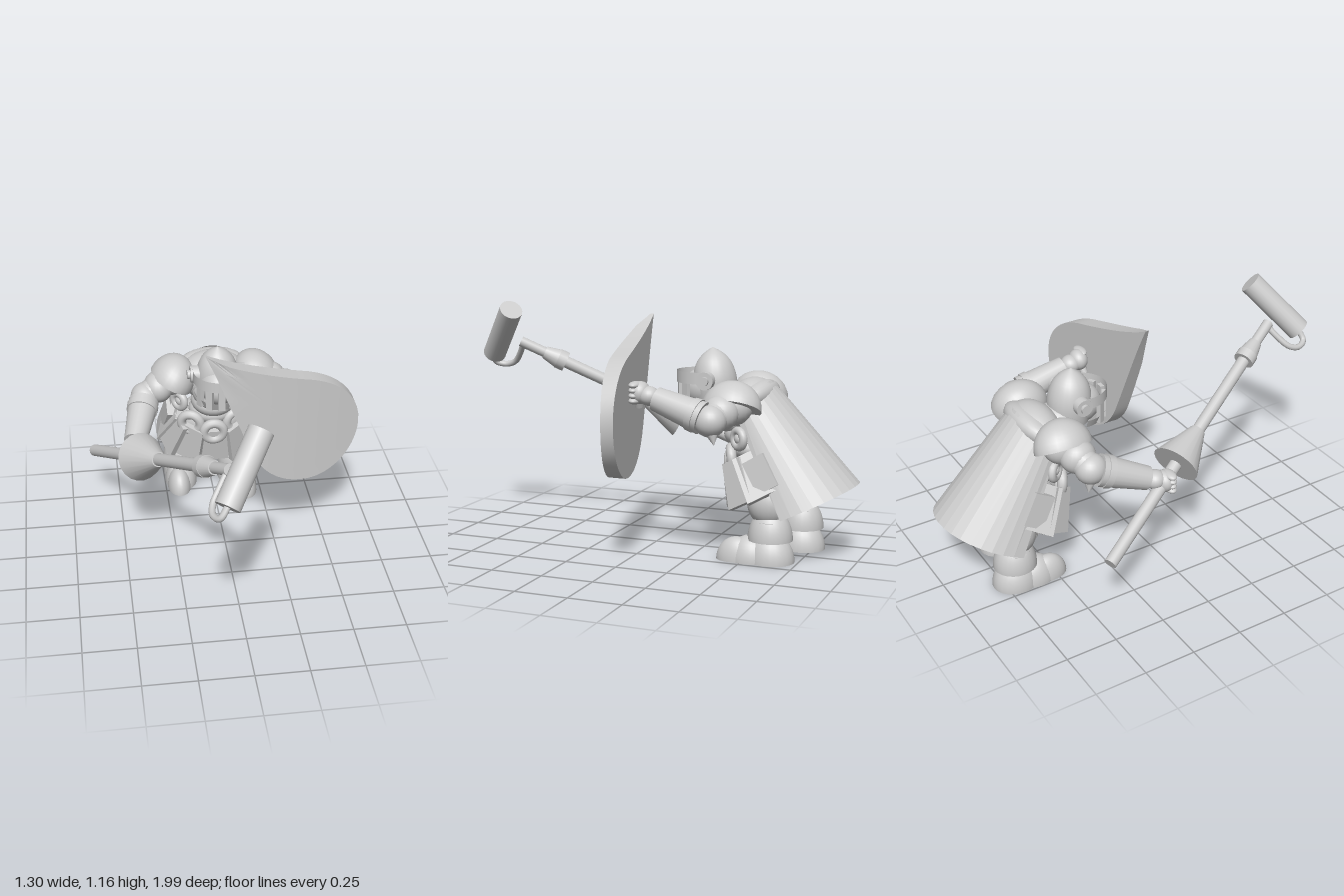
import * as THREE from 'three';
import { mergeGeometries, toCreasedNormals } from 'three/addons/utils/BufferGeometryUtils.js';

const mat = new THREE.MeshStandardMaterial({ color: 0xcccccc });
const thin = new THREE.MeshStandardMaterial({ color: 0xcccccc, side: THREE.DoubleSide });
const V = (p) => new THREE.Vector3(...p);
const UP = new THREE.Vector3(0, 1, 0);
const dot = (x, y) => new THREE.Vector2(x, y);

// Surface through rows of points, each row having the same count
function loft(rows, crease) {
  const n = rows[0].length, idx = [];
  for (let k = 0; k < rows.length - 1; k++) {
    for (let i = 0; i < n - 1; i++) {
      const a = k * n + i, c = a + n;
      idx.push(a, c, c + 1, a, c + 1, a + 1);
    }
  }
  const geo = new THREE.BufferGeometry();
  geo.setAttribute('position', new THREE.Float32BufferAttribute(rows.flat(2), 3));
  geo.setIndex(idx);
  return toCreasedNormals(geo, crease);
}

export function createModel() {
  const root = new THREE.Group();
  const add = (name, geo, pos = [0, 0, 0], parent = root, m = mat) => {
    const mesh = new THREE.Mesh(geo, m);
    mesh.name = name;
    mesh.position.set(...pos);
    parent.add(mesh);
    return mesh;
  };
  const ball = (name, pos, s, parent = root) => {
    const b = add(name, new THREE.SphereGeometry(1, 24, 16), pos, parent);
    b.scale.set(...s);
    return b;
  };
  // Half ellipsoid with a flat underside
  const dome = (name, pos, s, parent = root) => {
    const d = add(name, mergeGeometries([
      new THREE.SphereGeometry(1, 24, 10, 0, Math.PI * 2, 0, Math.PI / 2),
      new THREE.CircleGeometry(1, 24).rotateX(Math.PI / 2)]), pos, parent);
    d.scale.set(...s);
    return d;
  };
  // Tapered round bar from a to b
  const bar = (name, a, b, ra, rb = ra, parent = root) => {
    const A = V(a), B = V(b), d = B.clone().sub(A);
    const m = add(name, new THREE.CylinderGeometry(rb, ra, d.length(), 20), [0, 0, 0], parent);
    m.position.copy(A).add(B).multiplyScalar(0.5);
    m.quaternion.setFromUnitVectors(UP, d.normalize());
    return m;
  };
  const along = (a, b, t) => V(a).lerp(V(b), t).toArray();

  // Legs: the left one stands slightly forward
  for (const [side, z, name] of [[1, -0.62, 'leftLeg'], [-1, -0.69, 'rightLeg']]) {
    const leg = new THREE.Group();
    leg.name = name;
    leg.position.set(side * 0.143 - 0.005, 0, z);
    root.add(leg);
    dome('heel', [0, 0.005, 0], [0.1, 0.14, 0.115], leg);
    dome('instep', [side * 0.015, 0.005, 0.09], [0.085, 0.12, 0.11], leg);
    dome('toe', [side * 0.03, 0.005, 0.15], [0.062, 0.11, 0.1], leg);
    bar('ankle', [0, 0.08, 0], [0, 0.2, 0], 0.07, 0.08, leg);
    dome('shinGuard', [0, 0.108, 0], [0.1, 0.15, 0.105], leg);
    ball('thigh', [0, 0.28, 0.01], [0.088, 0.11, 0.1], leg);
    const knee = add('kneeSpike', new THREE.ConeGeometry(0.07, 0.1, 16), [0, 0.235, 0.06], leg);
    knee.rotation.x = Math.PI * 0.85;
  }

  // Torso bent forward, in stacked bulging bands
  ball('hips', [0, 0.41, -0.58], [0.18, 0.13, 0.13]);
  ball('lowerBelly', [0, 0.51, -0.5], [0.125, 0.07, 0.12]);
  ball('belly', [0, 0.57, -0.48], [0.115, 0.075, 0.13]);
  ball('chest', [0, 0.65, -0.44], [0.115, 0.09, 0.15]);
  ball('upperBack', [0, 0.71, -0.49], [0.18, 0.13, 0.12]);
  ball('neck', [0, 0.73, -0.35], [0.1, 0.08, 0.12]);

  // Skirt of flared plates, leaning with the bent body
  const skirt = new THREE.Group();
  skirt.name = 'skirt';
  skirt.position.set(0, 0.48, -0.475);
  skirt.rotation.x = 0.5;
  root.add(skirt);
  for (let i = -3; i <= 3; i++) {
    const a = i * 0.62, len = 0.19 + 0.012 * Math.abs(i);
    const hinge = new THREE.Group();
    hinge.name = 'skirtPlate';
    hinge.position.set(Math.sin(a) * 0.18, 0, Math.cos(a) * 0.1);
    hinge.rotation.y = a;
    skirt.add(hinge);
    const shape = new THREE.Shape([dot(-0.055, 0), dot(-0.073, -len), dot(0.073, -len), dot(0.055, 0)]);
    const plate = add('plate', new THREE.ExtrudeGeometry(shape, { depth: 0.03, bevelEnabled: false }),
      [0, 0, -0.015], hinge);
    plate.rotation.x = -0.32 - 0.03 * Math.abs(i);
  }
  // Belt rings
  for (const [x, y, z] of [[-0.122, 0.47, -0.42], [-0.008, 0.43, -0.385], [0.108, 0.47, -0.42]]) {
    const ring = add('beltRing', new THREE.TorusGeometry(0.05, 0.024, 12, 28), [x, y, z]);
    ring.rotation.set(0.1, x * 3, 0);
  }
  // Side rings and hip pouches
  for (const s of [-1, 1]) {
    const ring = add('sideRing', new THREE.TorusGeometry(0.038, 0.02, 12, 24), [s * 0.175, 0.575, -0.475]);
    ring.rotation.y = s * 0.9;
    ball('sideStud', [s * 0.165, 0.575, -0.48], [0.03, 0.03, 0.03]);
    const pouch = add('hipPouch', new THREE.BoxGeometry(0.05, 0.16, 0.11), [s * 0.222, 0.43, -0.6]);
    pouch.rotation.set(0.55, 0, s * 0.15);
  }

  // Head: pointed helmet, visor band, face grille and ear discs
  const helmet = add('helmet', new THREE.LatheGeometry(new THREE.SplineCurve([
    dot(0.095, -0.12), dot(0.105, -0.04), dot(0.1, 0.02), dot(0.08, 0.075), dot(0.045, 0.115), dot(0.001, 0.142),
  ]).getPoints(16), 24), [0, 0.83, -0.295], root, thin);
  helmet.rotation.x = 0.08;
  ball('face', [0, 0.78, -0.26], [0.095, 0.1, 0.12]);
  const visor = add('visorBand', new THREE.CylinderGeometry(0.125, 0.125, 0.055, 28, 1, true, -1.7, 3.4),
    [0, 0.835, -0.25], root, thin);
  visor.scale.z = 1.1;
  const jaw = add('jawBand', new THREE.CylinderGeometry(0.12, 0.1, 0.045, 28, 1, true, -1.7, 3.4),
    [0, 0.72, -0.25], root, thin);
  jaw.scale.z = 1.1;
  for (let i = -2; i <= 2; i++) {
    const a = i * 0.52;
    const slat = add('grilleSlat', new THREE.BoxGeometry(0.034, 0.13, 0.02),
      [Math.sin(a) * 0.113, 0.77, -0.25 + Math.cos(a) * 0.122]);
    slat.rotation.y = a;
  }
  for (const s of [-1, 1]) {
    bar('earDisc', [s * 0.09, 0.825, -0.29], [s * 0.135, 0.825, -0.29], 0.042);
    bar('earStud', [s * 0.13, 0.825, -0.29], [s * 0.15, 0.825, -0.29], 0.022);
  }

  // Arms with shoulder plate, ringed elbow, spike and fist
  const arms = [
    ['leftArm', 1, [0.36, 0.68, -0.4], [0.34, 0.775, -0.1]],
    ['rightArm', -1, [-0.355, 0.66, -0.39], [-0.435, 0.545, -0.1]],
  ];
  for (const [name, s, elbow, wrist] of arms) {
    const arm = new THREE.Group();
    arm.name = name;
    root.add(arm);
    const shoulder = [s * 0.2, 0.74, -0.45];
    const cap = dome('shoulderPlate', [s * 0.215, 0.715, -0.45], [0.115, 0.135, 0.14], arm);
    cap.rotation.z = s * 0.5;
    ball('shoulder', [s * 0.215, 0.73, -0.45], [0.085, 0.09, 0.1], arm);
    bar('upperArm', shoulder, elbow, 0.075, 0.065, arm);
    ball('upperArmBand', along(shoulder, elbow, 0.55), [0.075, 0.08, 0.085], arm);
    ball('elbow', elbow, [0.072, 0.072, 0.075], arm);
    bar('elbowSpike', elbow, [elbow[0] + s * 0.03, elbow[1] - 0.1, elbow[2] - 0.03], 0.06, 0.002, arm);
    bar('forearm', along(elbow, wrist, 0.12), along(elbow, wrist, 0.88), 0.076, 0.056, arm);
    bar('cuff', along(elbow, wrist, 0.2), along(elbow, wrist, 0.3), 0.079, 0.077, arm);
    ball('wrist', wrist, [0.05, 0.045, 0.05], arm);
    const fist = along(elbow, wrist, 1.14);
    ball('fist', fist, [0.055, 0.052, 0.045], arm);
    for (let i = 0; i < 4; i++) {
      ball('finger', [fist[0] + s * 0.015, fist[1] + 0.036 - i * 0.024, fist[2] + 0.02], [0.048, 0.017, 0.028], arm);
    }
  }

  // Cape: a flaring half tube from collar to hem
  const capeRow = (w, [sy, sz], [by, bz]) => Array.from({ length: 19 }, (_, i) => {
    const a = -1.62 + 3.24 * i / 18, c = Math.cos(a);
    return [w * Math.sin(a), sy + (by - sy) * c, sz + (bz - sz) * c];
  });
  add('cape', loft([
    capeRow(0.18, [0.66, -0.48], [0.83, -0.57]),
    capeRow(0.28, [0.24, -0.72], [0.37, -0.995]),
  ], 0.1), [0, 0, 0], root, thin);
  const collar = ball('capeCollar', [0, 0.75, -0.51], [0.18, 0.07, 0.1]);
  collar.rotation.x = 0.6;

  // Teardrop shield: bowed front, flat slanted back, pointed upper corner
  const s = new THREE.Shape();
  s.moveTo(-0.1, 1.11);
  s.bezierCurveTo(-0.03, 0.97, 0.06, 0.72, 0.125, 0.57);
  s.bezierCurveTo(0.18, 0.46, 0.27, 0.4, 0.39, 0.4);
  s.bezierCurveTo(0.53, 0.4, 0.65, 0.53, 0.65, 0.68);
  s.bezierCurveTo(0.65, 0.81, 0.55, 0.91, 0.4, 0.95);
  s.bezierCurveTo(0.25, 0.985, 0.02, 1.045, -0.1, 1.11);
  const outline = s.getSpacedPoints(56);
  const shieldRow = (t, front) => outline.map((o) => {
    const x = 0.34 + (o.x - 0.34) * t, y = 0.7 + (o.y - 0.7) * t;
    return [x, y, front ? 0.1 - 0.23 * x * x - Math.max(0, -x) * 0.25 : 0.04 - 0.15 * x];
  });
  add('shield', loft([
    ...[0, 0.2, 0.4, 0.6, 0.8, 1].map((t) => shieldRow(t, true)), shieldRow(1, false), shieldRow(0, false),
  ], 0.6));
  bar('shieldGrip', [0.31, 0.72, -0.04], [0.36, 0.83, -0.05], 0.018);

  // Long pole weapon with hand guard cone and collar
  const tail = [-0.62, 0.325, -0.45], tip = [-0.085, 0.95, 0.775];
  const pole = new THREE.Group();
  pole.name = 'poleWeapon';
  root.add(pole);
  const seg = (name, t0, t1, r0, r1) => bar(name, along(tail, tip, t0), along(tail, tip, t1), r0, r1, pole);
  seg('shaft', 0, 0.86, 0.03);
  seg('handGuard', 0.39, 0.53, 0.115, 0.036);
  seg('collarTaper', 0.83, 0.86, 0.05, 0.05);
  seg('collar', 0.86, 0.91, 0.048, 0.032);
  seg('neckRod', 0.9, 1, 0.026);

  // Bent wire carrying the large roller
  const wire = new THREE.CatmullRomCurve3([
    [-0.09, 0.94, 0.765], [-0.125, 0.89, 0.8], [-0.165, 0.835, 0.855],
    [-0.17, 0.82, 0.91], [-0.145, 0.835, 0.955], [-0.105, 0.895, 0.935]].map(V));
  add('rollerWire', new THREE.TubeGeometry(wire, 32, 0.015, 10), [0, 0, 0], pole);
  bar('roller', [-0.115, 0.88, 0.945], [0.05, 1.12, 0.755], 0.057, 0.057, pole);

  return root;
}
